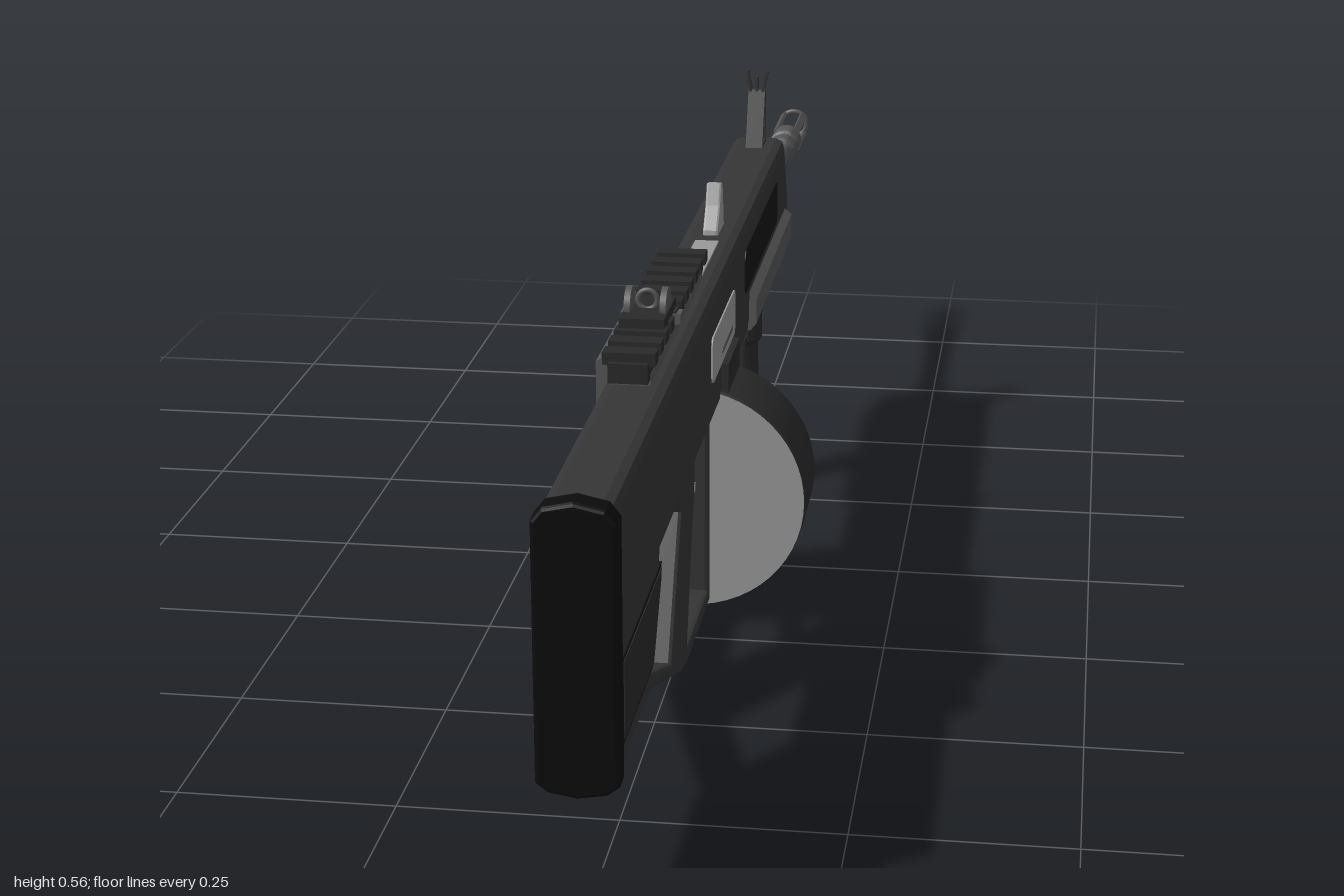
import * as THREE from 'three';
import { toCreasedNormals } from 'three/addons/utils/BufferGeometryUtils.js';

const mat = (name, color, side = THREE.FrontSide) => {
  const m = new THREE.MeshStandardMaterial({ color, side });
  m.name = name;
  return m;
};

export function createModel() {
  const root = new THREE.Group();
  root.name = 'model';
  const body = mat('charcoal', 0x353535);
  const black = mat('black rubber', 0x0c0c0c);
  const dark = mat('dark polymer', 0x2a2a2a);
  const recess = mat('recess black', 0x151515);
  const steel = mat('grey steel', 0x565656);
  const light = mat('light steel', 0x999999);

  const add = (name, geo, material, x = 0, y = 0, z = 0) => {
    const m = new THREE.Mesh(geo, material);
    m.name = name;
    m.position.set(x, y, z);
    root.add(m);
    return m;
  };
  const box = (name, w, h, d, material, x, y, z) =>
    add(name, new THREE.BoxGeometry(w, h, d), material, x, y, z);
  const poly = (pts) => new THREE.Shape(pts.map((p) => new THREE.Vector2(...p)));

  // Side profile given as (z, y), extruded across x and centred on x = 0
  const sideExtrude = (shape, width, bevel = 0) => {
    const g = new THREE.ExtrudeGeometry(shape, {
      depth: width - 2 * bevel, bevelEnabled: bevel > 0, bevelSize: bevel,
      bevelThickness: bevel, bevelOffset: -bevel, bevelSegments: 2, curveSegments: 10,
    });
    g.translate(0, 0, -(width - 2 * bevel) / 2);
    return g.rotateY(-Math.PI / 2);
  };
  // Rounded rectangle in (z, y)
  const roundRect = (z0, z1, y0, y1, r) => {
    const s = new THREE.Shape();
    s.absarc(z1 - r, y0 + r, r, -Math.PI / 2, 0);
    s.absarc(z1 - r, y1 - r, r, 0, Math.PI / 2);
    s.absarc(z0 + r, y1 - r, r, Math.PI / 2, Math.PI);
    s.absarc(z0 + r, y0 + r, r, Math.PI, Math.PI * 1.5);
    return s;
  };
  // Lathe about y from (radius, height) points
  const lathe = (pts, seg = 28) => toCreasedNormals(
    new THREE.LatheGeometry(pts.map((p) => new THREE.Vector2(...p)), seg), 0.5);

  // Receiver, stock and handguard shell
  add('receiverShell', sideExtrude(poly([
    [0.975, 0.155], [0.975, 0.457], [-0.515, 0.457], [-0.56, 0.37], [-0.565, 0.3],
    [-0.09, 0.3], [-0.08, 0.29], [0.69, 0.29], [0.755, 0.165], [0.77, 0.155],
  ]), 0.076, 0.013), body);

  // Butt pad
  const pad = poly([
    [-0.043, 0.165], [-0.03, 0.155], [0, 0.15], [0.03, 0.155], [0.043, 0.165],
    [0.043, 0.445], [0.032, 0.459], [0, 0.466], [-0.032, 0.459], [-0.043, 0.445],
  ]);
  add('buttPad', new THREE.ExtrudeGeometry(pad, {
    depth: 0.024, bevelSize: 0.004, bevelOffset: -0.004, bevelThickness: 0.004, bevelSegments: 2,
  }), black, 0, 0, 0.972);

  // Skeleton frame with grip and trigger opening
  const frame = poly([
    [0.77, 0.158], [0.45, 0.043], [0.41, 0.036], [0.208, 0.034], [0.208, 0.31], [0.72, 0.31],
  ]);
  frame.holes.push(
    new THREE.Path([[0.725, 0.163], [0.665, 0.286], [0.47, 0.286], [0.447, 0.245], [0.532, 0.091]]
      .map((p) => new THREE.Vector2(...p))),
    new THREE.Path([[0.335, 0.286], [0.222, 0.286], [0.222, 0.053], [0.41, 0.057], [0.365, 0.18], [0.345, 0.23]]
      .map((p) => new THREE.Vector2(...p))),
  );
  add('gripFrame', sideExtrude(frame, 0.052, 0.005), body);

  // Trigger and its guard
  box('triggerGuard', 0.02, 0.01, 0.145, light, 0, 0.193, 0.29);
  box('guardCatch', 0.014, 0.024, 0.012, light, 0, 0.182, 0.285);
  add('trigger', new THREE.TubeGeometry(new THREE.CatmullRomCurve3([
    new THREE.Vector3(0, 0.29, 0.3), new THREE.Vector3(0, 0.25, 0.305), new THREE.Vector3(0, 0.215, 0.325),
  ]), 10, 0.007, 8), steel);

  // Stock side panels, raised rim around an inset face
  const panel = (g) => poly([
    [0.95 - g, 0.188 + g], [0.95 - g, 0.283 - g], [0.69 + g * 1.4, 0.283 - g],
    [0.695 + g, 0.272 - g], [0.752 + g * 0.5, 0.188 + g],
  ]);
  for (const s of [1, -1]) {
    add('stockPanelGroove', sideExtrude(panel(0), 0.003), recess, s * 0.0375);
    add('stockPanel', sideExtrude(panel(0.005), 0.004), dark, s * 0.038);
    // Handguard vents and steel side covers
    add('handguardVent', sideExtrude(roundRect(-0.41, -0.04, 0.362, 0.422, 0.014), 0.004), recess, s * 0.0375);
  }

  // Ejection port with bolt, and top slot
  add('ejectionPort', sideExtrude(roundRect(0.07, 0.285, 0.347, 0.405, 0.01), 0.004), light, 0.038);
  add('boltLine', sideExtrude(roundRect(0.1, 0.2, 0.36, 0.366, 0.002), 0.003), steel, 0.0395);
  box('topSlot', 0.03, 0.004, 0.17, light, 0, 0.4575, 0.13);

  // Steel handguard cover with chamfered lower edges
  const cover = poly([[-0.04, 0.298], [0.04, 0.298], [0.048, 0.308], [0.048, 0.342], [0.036, 0.352],
    [-0.036, 0.352], [-0.048, 0.342], [-0.048, 0.308]]);
  add('handguardCover', new THREE.ExtrudeGeometry(cover, { depth: 0.43, bevelEnabled: false }),
    steel, 0, 0, -0.522);

  // Toothed accessory rail
  const rail = (name, y, dir, z0, z1, w, count, material) => {
    const len = z1 - z0;
    box(name, w * 0.75, 0.022, len, material, 0, y, (z0 + z1) / 2);
    for (let i = 0; i < count; i++) {
      box(name + 'Tooth', w, 0.014, len / count * 0.58, material,
        0, y + dir * 0.014, z0 + (i + 0.5) * len / count);
    }
  };
  rail('lowerRail', 0.284, -1, -0.515, -0.105, 0.06, 11, dark);
  rail('topRail', 0.487, 1, 0.245, 0.67, 0.058, 11, dark);
  box('topRailFoot', 0.044, 0.014, 0.4, steel, 0, 0.475, 0.45);
  box('topRailSpacer', 0.018, 0.03, 0.23, light, 0, 0.462, 0.365);

  // Side mounting bracket, an open folded plate
  const bracket = poly([[-0.008, 0.48], [-0.02, 0.478], [-0.061, 0.45], [-0.061, 0.385],
    [-0.043, 0.374], [-0.036, 0.374], [-0.036, 0.452], [-0.008, 0.468]]);
  add('sideBracket', new THREE.ExtrudeGeometry(bracket, { depth: 0.27, bevelEnabled: false }),
    steel, 0, 0, 0.25);
  box('bracketGroove', 0.003, 0.012, 0.21, dark, -0.061, 0.412, 0.385);

  // Rear sight: base, ears and aperture ring
  box('rearSightBase', 0.05, 0.014, 0.09, dark, 0, 0.512, 0.53);
  for (const s of [1, -1]) {
    const ear = add('rearSightEar', new THREE.CylinderGeometry(0.022, 0.022, 0.007, 20), steel, s * 0.02, 0.521, 0.53);
    ear.rotation.z = Math.PI / 2;
    box('rearSightKnob', 0.014, 0.012, 0.02, steel, s * 0.027, 0.5, 0.5);
  }
  add('rearAperture', new THREE.TorusGeometry(0.011, 0.003, 8, 20), steel, 0, 0.528, 0.53);

  // Charging handle fin
  add('chargingHandle', sideExtrude(poly([[0.015, 0.45], [0.012, 0.463], [-0.012, 0.49],
    [-0.025, 0.517], [-0.035, 0.515], [-0.047, 0.46], [-0.047, 0.45]]), 0.02, 0.003), light);

  // Front sight: triangular side frame and flared prongs
  const post = poly([[-0.45, 0.45], [-0.485, 0.535], [-0.498, 0.535], [-0.502, 0.45]]);
  post.holes.push(new THREE.Path([[-0.463, 0.462], [-0.486, 0.518], [-0.493, 0.518], [-0.494, 0.462]]
    .map((p) => new THREE.Vector2(...p))));
  add('frontSight', sideExtrude(post, 0.024), body);
  for (const s of [-1, 0, 1]) {
    const h = s ? 0.036 : 0.028;
    const prong = box('frontSightProng', 0.004, h, 0.012, body, s * 0.011, 0.526 + h / 2, -0.49);
    prong.rotation.z = -s * 0.2;
  }

  // Drum magazine: dark shell, light rear plate, ringed forward face
  const drum = add('drum', lathe([[0, 0], [0.139, 0], [0.145, 0.006], [0.145, 0.119], [0.141, 0.124], [0, 0.124]], 56),
    dark, 0, 0.17, 0.08);
  drum.rotation.x = Math.PI / 2;
  add('drumPlate', new THREE.CircleGeometry(0.144, 56), light, 0, 0.17, 0.2055);
  for (const r of [0.034, 0.075, 0.118]) {
    add('drumRing', new THREE.TorusGeometry(r, 0.003, 6, 48), dark, 0, 0.17, 0.08);
  }
  const hub = add('drumHub', new THREE.CylinderGeometry(0.018, 0.018, 0.008, 24), dark, 0, 0.17, 0.078);
  hub.rotation.x = Math.PI / 2;
  box('magazineWell', 0.095, 0.045, 0.11, dark, 0, 0.322, 0.14);

  // Vertical foregrip with finger grooves
  const grip = [[0, 0], [0.033, 0], [0.035, 0.004], [0.035, 0.022]];
  for (let i = 0; i < 3; i++) {
    const y = 0.024 + i * 0.026;
    grip.push([0.031, y], [0.031, y + 0.005], [0.034, y + 0.008], [0.034, y + 0.024]);
  }
  grip.push([0.031, 0.11], [0.026, 0.17], [0.025, 0.215], [0.031, 0.222], [0.031, 0.262], [0, 0.262]);
  add('foregrip', lathe(grip), dark, 0, 0, -0.302);

  // Barrel and slotted muzzle
  const barrel = add('barrel', lathe([[0, 0], [0.023, 0], [0.023, 0.02], [0.016, 0.03], [0.016, 0.25],
    [0.022, 0.258], [0.022, 0.285], [0.019, 0.29], [0.019, 0.3], [0.023, 0.304], [0.023, 0.342], [0, 0.342]], 24),
  steel, 0, 0.363, -0.55);
  barrel.rotation.x = -Math.PI / 2;
  for (let i = 0; i < 4; i++) {
    const a = Math.PI / 4 + i * Math.PI / 2;
    const rod = box('muzzleRod', 0.01, 0.005, 0.112, steel,
      Math.cos(a) * 0.022, 0.363 + Math.sin(a) * 0.022, -0.942);
    rod.rotation.z = a + Math.PI / 2;
  }
  add('muzzleRing', new THREE.TorusGeometry(0.0205, 0.004, 8, 28), steel, 0, 0.363, -0.996);

  return root;
}
